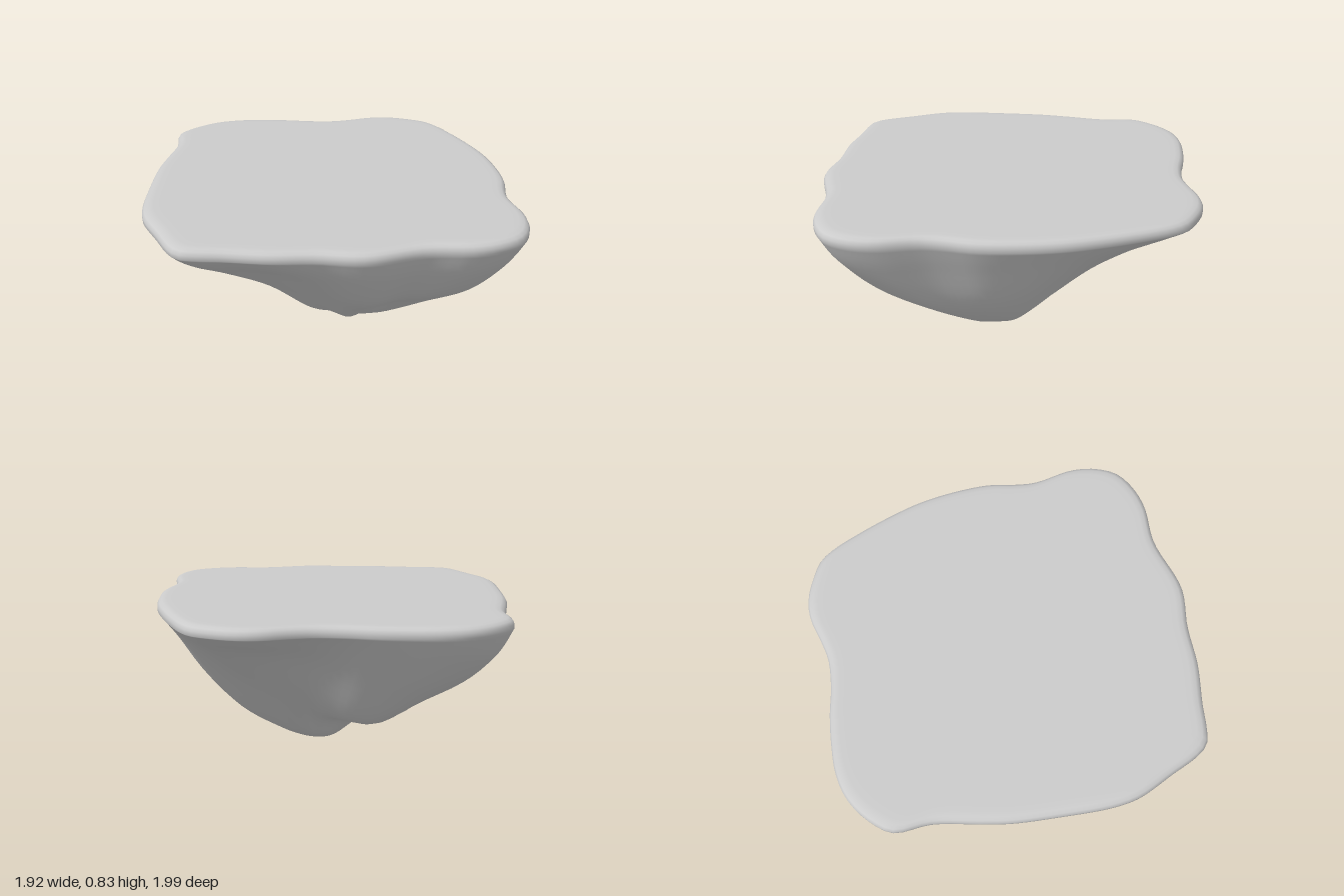
import * as THREE from 'three';

const TOP = 0.837, PEAK = [0.1, 0];

// plateau outline as x, z pairs, from +x round towards +z
const OUTLINE = [
  0.955, 0, 0.94, 0.2, 0.9, 0.34, 0.88, 0.45, 0.895, 0.67, 0.865, 0.8, 0.8, 0.9, 0.69, 0.955,
  0.56, 0.975, 0.34, 0.95, 0.04, 0.995, -0.18, 0.945, -0.39, 0.92, -0.6, 0.865, -0.72, 0.84,
  -0.8, 0.81, -0.84, 0.75, -0.89, 0.6, -0.955, 0.4, -0.962, 0.26, -0.93, 0, -0.89, -0.24,
  -0.85, -0.38, -0.78, -0.61, -0.765, -0.8, -0.7, -0.88, -0.6, -0.95, -0.51, -0.985, -0.39, -0.998,
  -0.26, -0.985, -0.1, -0.955, 0.04, -0.915, 0.19, -0.892, 0.31, -0.905, 0.42, -0.925, 0.5, -0.925,
  0.58, -0.905, 0.67, -0.86, 0.76, -0.795, 0.81, -0.71, 0.855, -0.58, 0.905, -0.4, 0.945, -0.2,
];

// underside heights every 15 degrees, at these fractions from the lowest point to the rim
const FRACTIONS = [0.25, 0.5, 0.75, 0.92];
const HEIGHTS = [
  [0.07, 0.20, 0.43, 0.67], [0.06, 0.18, 0.39, 0.65],
  [0.05, 0.17, 0.37, 0.64], [0.07, 0.23, 0.42, 0.64],
  [0.09, 0.28, 0.45, 0.64], [0.09, 0.28, 0.44, 0.64],
  [0.08, 0.26, 0.43, 0.64], [0.10, 0.29, 0.50, 0.67],
  [0.13, 0.35, 0.58, 0.71], [0.14, 0.39, 0.59, 0.71],
  [0.15, 0.42, 0.59, 0.70], [0.15, 0.42, 0.60, 0.70],
  [0.15, 0.41, 0.59, 0.70], [0.16, 0.41, 0.57, 0.69],
  [0.17, 0.39, 0.53, 0.67], [0.18, 0.34, 0.46, 0.63],
  [0.18, 0.24, 0.46, 0.66], [0.18, 0.26, 0.50, 0.69],
  [0.18, 0.32, 0.57, 0.72], [0.19, 0.40, 0.63, 0.74],
  [0.19, 0.43, 0.65, 0.74], [0.17, 0.42, 0.62, 0.73],
  [0.13, 0.35, 0.57, 0.71], [0.10, 0.27, 0.50, 0.69],
];

// smooth periodic lookup in one column of the height table
function heightAt(angle, column) {
  const n = HEIGHTS.length;
  const u = ((angle / (Math.PI * 2)) * n + n) % n;
  const i = Math.floor(u), f = u - i;
  const [a, b, c, d] = [-1, 0, 1, 2].map((k) => HEIGHTS[(i + k + n) % n][column]);
  return b + 0.5 * f * (c - a + f * (2 * a - 5 * b + 4 * c - d + f * (3 * (b - c) + d - a)));
}

// one section from the lowest point, over the rounded rim, to the plateau centre
function section(angle) {
  const h = FRACTIONS.map((_, k) => heightAt(angle, k));
  const curve = new THREE.SplineCurve([
    new THREE.Vector2(0, 0.003),
    new THREE.Vector2(0.1, h[0] * 0.25),
    ...FRACTIONS.map((t, k) => new THREE.Vector2(t, h[k])),
    new THREE.Vector2(1, 0.785),
  ]);
  const rim = [[1.0, 0.808], [0.99, 0.825], [0.972, 0.834], [0.945, TOP], [0.9, TOP], [0.5, TOP], [0, TOP]];
  return [...curve.getPoints(30), ...rim.map(([t, y]) => new THREE.Vector2(t, y))];
}

function rockGeometry(segments = 144) {
  const points = [];
  for (let i = 0; i < OUTLINE.length; i += 2) {
    points.push(new THREE.Vector3(OUTLINE[i], 0, OUTLINE[i + 1]));
  }
  const edge = new THREE.CatmullRomCurve3(points, true).getSpacedPoints(segments).slice(0, segments);

  const positions = [], index = [];
  let rows = 0;
  for (const p of edge) {
    const dx = p.x - PEAK[0], dz = p.z - PEAK[1];
    const profile = section(Math.atan2(dz, dx));
    rows = profile.length;
    for (const q of profile) positions.push(PEAK[0] + dx * q.x, q.y, PEAK[1] + dz * q.x);
  }
  // both ends close on a single shared vertex
  const id = (s, r) => (r === 0 || r === rows - 1 ? r : (s % segments) * rows + r);
  for (let s = 0; s < segments; s++) {
    for (let r = 0; r < rows - 1; r++) {
      const a = id(s, r), b = id(s, r + 1), c = id(s + 1, r + 1), d = id(s + 1, r);
      if (r < rows - 2) index.push(a, b, c);
      if (r > 0) index.push(a, c, d);
    }
  }
  const geometry = new THREE.BufferGeometry();
  geometry.setAttribute('position', new THREE.Float32BufferAttribute(positions, 3));
  geometry.setIndex(index);
  geometry.computeVertexNormals();
  return geometry;
}

export function createModel() {
  const group = new THREE.Group();
  group.name = 'floatingIsland';
  const rock = new THREE.Mesh(rockGeometry(), new THREE.MeshStandardMaterial({ color: 0xcccccc }));
  rock.name = 'islandRock';
  group.add(rock);
  return group;
}
